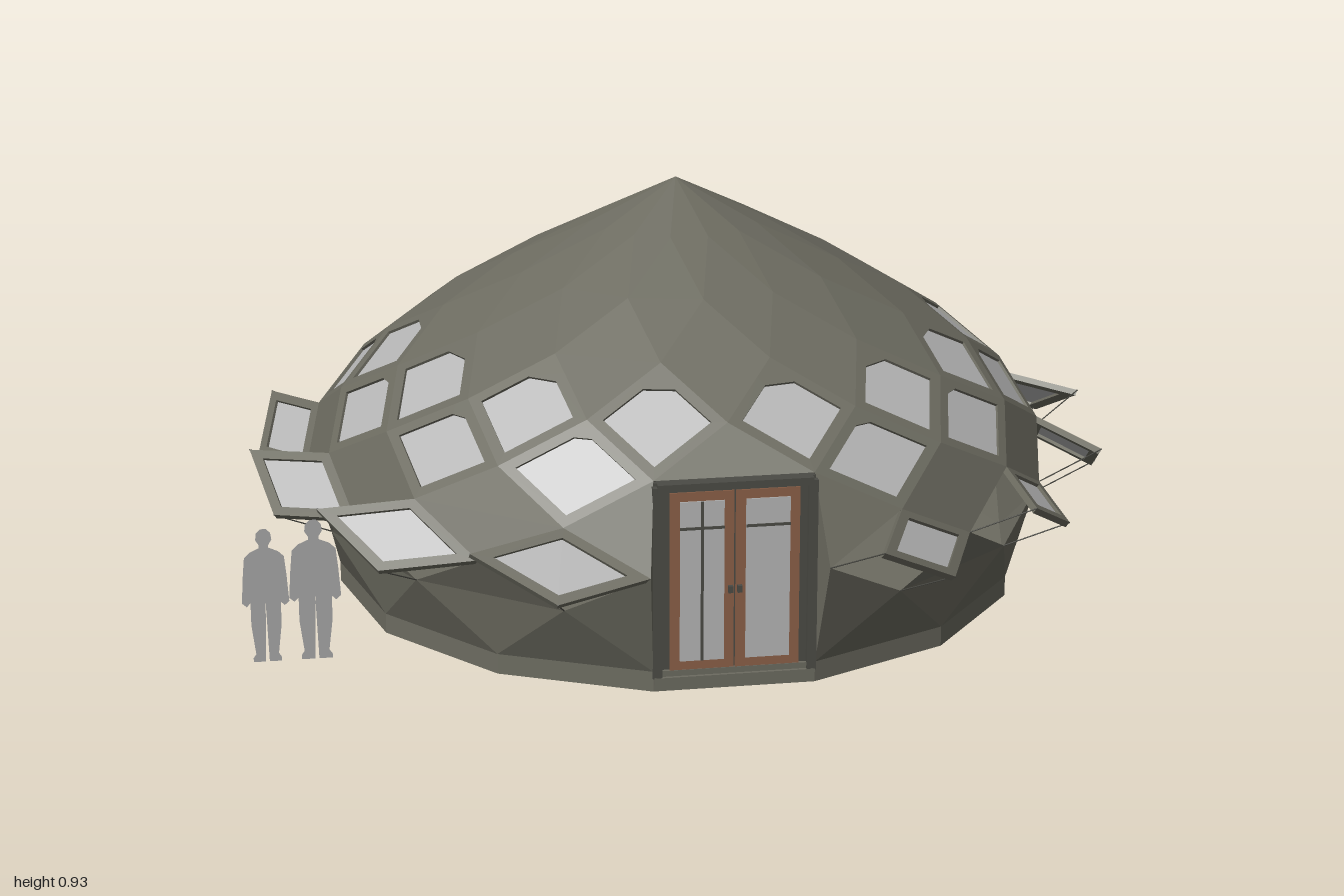
import * as THREE from 'three';

const N = 14, STEP = (Math.PI * 2) / N;
const CX = 0.02, CZ = 0.025, R = 0.85, APEX = 0.925, H = 0.092;
const BASE_R = 0.78, BASE_Y = 0.045;

const mat = (name, color) => {
  const m = new THREE.MeshStandardMaterial({ color, side: THREE.DoubleSide });
  m.name = name;
  return m;
};

// Point on dome ring k (0 = apex, 9 = sill) at m steps round from the front
function P(k, m) {
  const r = k === 9 ? BASE_R : R * Math.sin((k * Math.PI) / N);
  const y = k === 9 ? BASE_Y : APEX - k * H;
  return new THREE.Vector3(CX + r * Math.sin(m * STEP), y, CZ + r * Math.cos(m * STEP));
}

// Collects flat polygons into one faceted mesh
class Faces {
  constructor() { this.v = []; }
  poly(...p) {
    for (let i = 1; i < p.length - 1; i++) {
      for (const q of [p[0], p[i], p[i + 1]]) this.v.push(q.x, q.y, q.z);
    }
  }
  band(a, b) {
    a.forEach((p, i) => {
      const j = (i + 1) % a.length;
      this.poly(p, a[j], b[j], b[i]);
    });
  }
  mesh(name, material) {
    const g = new THREE.BufferGeometry();
    g.setAttribute('position', new THREE.Float32BufferAttribute(this.v, 3));
    g.computeVertexNormals();
    const m = new THREE.Mesh(g, material);
    m.name = name;
    return m;
  }
}

// Rhombic pane: a frame with thickness and glass set into it
function pane(frame, glass, corners, scale, thick, clipTop) {
  const c = corners.reduce((s, p) => s.add(p), new THREE.Vector3()).multiplyScalar(0.25);
  const n = corners[1].clone().sub(corners[0]).cross(corners[2].clone().sub(corners[0])).normalize();
  const [t, l, b, r] = corners.map((p) => c.clone().lerp(p, scale));
  const mix = (a, d, f) => a.clone().lerp(d, f);
  const [T, L, B, Rt] = corners;
  // the top corner of the opening may be cut off flat
  const f = clipTop;
  const inner = [mix(t, r, f), mix(t, l, f), l, b, r];
  const outer = [mix(T, Rt, f), mix(T, L, f), L, B, Rt];
  const back = (list, d) => list.map((p) => p.clone().addScaledVector(n, -d));
  frame.band(outer, inner);
  frame.poly(T, outer[1], outer[0]);
  frame.band(inner, back(inner, thick));
  frame.band(back(inner, thick), back(outer, thick));
  frame.poly(...back([T, outer[0], outer[1]], thick));
  frame.band(back(outer, thick), outer);
  glass.poly(...back(inner, thick * 0.5));
}

function rod(a, b, radius, material) {
  const m = new THREE.Mesh(new THREE.CylinderGeometry(radius, radius, a.distanceTo(b), 5), material);
  m.position.copy(a).lerp(b, 0.5);
  m.quaternion.setFromUnitVectors(new THREE.Vector3(0, 1, 0), b.clone().sub(a).normalize());
  m.name = 'awningStay';
  return m;
}

// Standing flat figure, feet at y = 0
function figure(name, x, height, width, material) {
  const half = [[0.04, 0], [0.3, 0], [0.3, 0.03], [0.24, 0.06], [0.32, 0.28], [0.32, 0.45],
    [0.4, 0.42], [0.5, 0.45], [0.46, 0.65], [0.42, 0.79], [0.3, 0.83], [0.1, 0.86],
    [0.1, 0.88], [0.17, 0.92], [0.15, 0.97], [0.06, 1]];
  const pts = [...half, ...half.map(([a, b]) => [-a, b]).reverse(), [0, 0.45]];
  const shape = new THREE.Shape(pts.map(([a, b]) => new THREE.Vector2(a * width, b * height)));
  const m = new THREE.Mesh(new THREE.ShapeGeometry(shape), material);
  m.position.set(x, 0.03, 0.56);
  m.name = name;
  return m;
}

export function createModel() {
  const model = new THREE.Group();
  model.name = 'rhombicDomeHouse';
  const cladding = mat('grey cladding', 0x6c6b60);
  const glassMat = mat('pale glass', 0xb6b6b6);
  const trim = mat('dark trim', 0x4b4b45);
  const wood = mat('brown wood', 0x8c6048);
  const figureMat = mat('figure grey', 0xa6a6a6);

  const shell = new Faces(), windowFrames = new Faces(), glass = new Faces();
  const awningFrames = new Faces(), awningGlass = new Faces();

  // Dome: rows of rhombi, swinging panes in row 7, fixed panes in rows 4 and 5
  for (let j = 1; j <= 8; j++) {
    for (let i = -7; i < 7; i++) {
      const m = i + (j % 2 ? 0 : 0.5);
      const T = P(j - 1, m), L = P(j, m - 0.5), B = P(j + 1, m), Rt = P(j, m + 0.5);
      if (m === 0 && j === 7) continue;
      if (m === 0 && j === 5) shell.poly(T, L, Rt);
      else if (j >= 6 && m === 0.5) shell.poly(T, B, Rt);
      else if (j >= 6 && m === -0.5) shell.poly(T, L, B);
      else if (j === 4 || j === 5) pane(windowFrames, glass, [T, L, B, Rt], 0.77, 0.012, j === 4 ? 0.3 : 0.15);
      else if (j === 7) {
        // hinged on the upper right edge and swung outward
        const axis = Rt.clone().sub(T).normalize();
        const swing = (p) => p.clone().sub(T).applyAxisAngle(axis, -1.0).add(T);
        let L2 = swing(L), B2 = swing(B);
        const out = new THREE.Vector3(Math.sin(m * STEP), 0, Math.cos(m * STEP));
        if (B2.clone().sub(B).dot(out) < 0) {
          L2 = L.clone().sub(T).applyAxisAngle(axis, 1.0).add(T);
          B2 = B.clone().sub(T).applyAxisAngle(axis, 1.0).add(T);
        }
        pane(awningFrames, awningGlass, [T, L2, B2, Rt], 0.74, 0.014, 0.01);
        model.add(rod(B, B2, 0.0015, trim), rod(L, L2, 0.0015, trim));
      } else {
        shell.poly(T, L, Rt);
        shell.poly(L, B, Rt);
      }
    }
  }
  // Triangles standing on the sill
  for (let m = -7; m < 7; m++) {
    if (m !== 0) shell.poly(P(8, m), P(9, m - 0.5), P(9, m + 0.5));
  }
  // Side cheeks of the doorway
  for (const s of [-0.5, 0.5]) shell.poly(P(5, s), P(7, s), P(9, s));

  model.add(
    shell.mesh('domeShell', cladding),
    windowFrames.mesh('windowFrames', cladding),
    glass.mesh('windowGlass', glassMat),
    awningFrames.mesh('awningFrames', cladding),
    awningGlass.mesh('awningGlass', glassMat),
  );

  // Base slab
  const base = new THREE.Mesh(
    new THREE.CylinderGeometry(BASE_R, BASE_R, BASE_Y, N, 1, false, STEP / 2).toNonIndexed(), cladding);
  base.geometry.computeVertexNormals();
  base.position.set(CX, BASE_Y / 2, CZ);
  base.name = 'baseSlab';
  model.add(base);

  // Double door set back in the doorway
  const door = new THREE.Group();
  door.name = 'doubleDoor';
  door.position.set(CX, 0, 0.768);
  const box = (name, x0, x1, y0, y1, z, d, material) => {
    const b = new THREE.Mesh(new THREE.BoxGeometry(x1 - x0, y1 - y0, d), material);
    b.position.set((x0 + x1) / 2, (y0 + y1) / 2, z);
    b.name = name;
    door.add(b);
  };
  box('doorSurround', -0.172, 0.172, 0.022, 0.462, 0, 0.02, trim);
  box('doorThreshold', -0.172, 0.172, 0.015, 0.032, 0.01, 0.03, cladding);
  for (const s of [-1, 1]) {
    const c = s * 0.07;
    box('doorLeaf', c - 0.068, c + 0.068, 0.032, 0.44, 0.01, 0.012, wood);
    box('doorGlass', c - 0.047, c + 0.047, 0.065, 0.42, 0.016, 0.006, glassMat);
    box('glazingBar', c - 0.047, c + 0.047, 0.358, 0.364, 0.019, 0.004, trim);
    box('doorHandle', s * 0.01 - 0.005, s * 0.01 + 0.005, 0.215, 0.23, 0.02, 0.012, trim);
    box('jambPost', s * 0.165 - 0.01, s * 0.165 + 0.01, 0.03, 0.455, 0.012, 0.024, trim);
  }
  box('glazingBar', -0.073, -0.067, 0.065, 0.42, 0.019, 0.004, trim);
  box('doorHeader', -0.165, 0.165, 0.445, 0.462, 0.012, 0.03, trim);
  model.add(door);

  // Two flat scale figures
  model.add(
    figure('smallFigure', -0.95, 0.3, 0.1, figureMat),
    figure('tallFigure', -0.845, 0.315, 0.11, figureMat),
  );
  return model;
}
